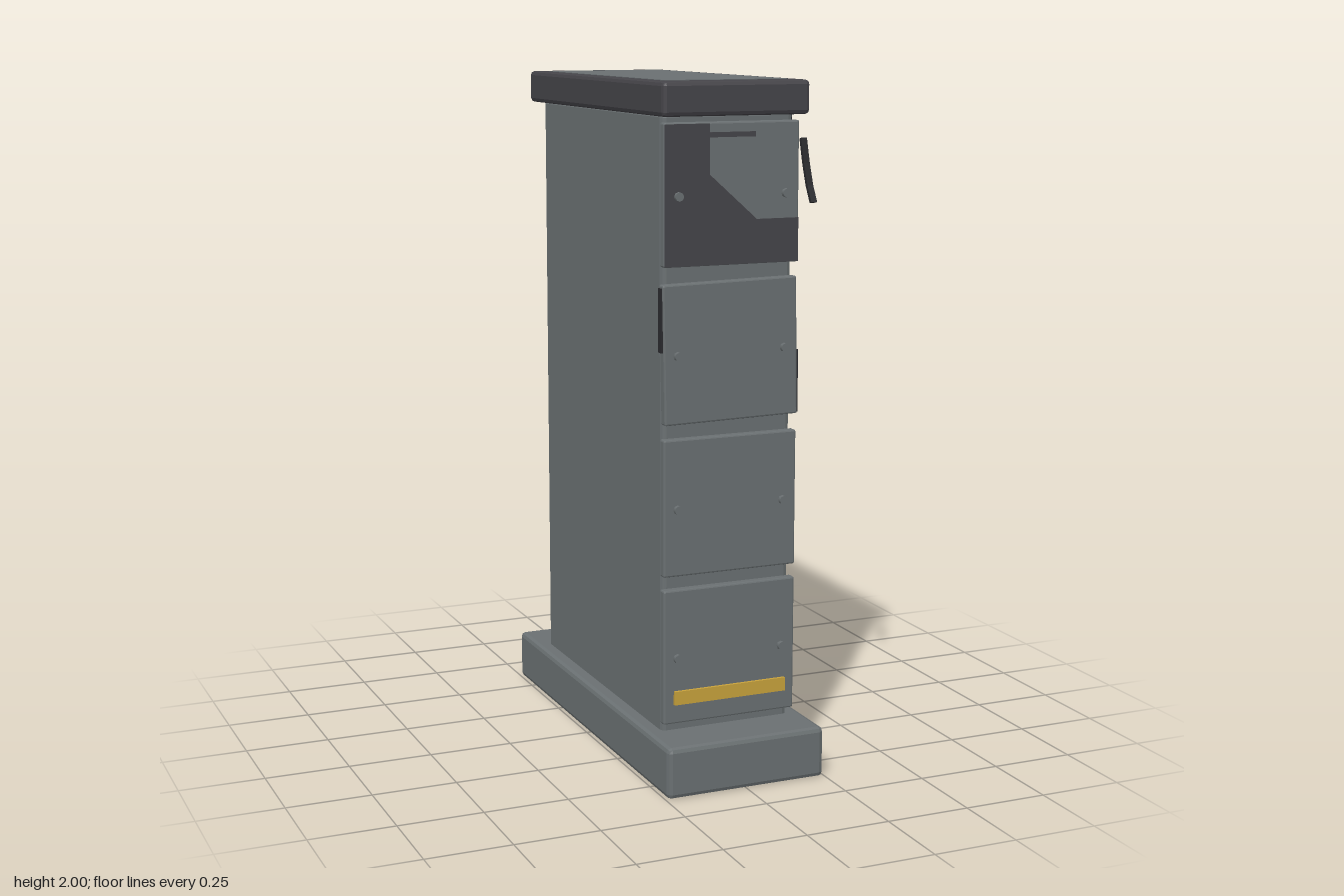
import * as THREE from 'three';
import { RoundedBoxGeometry } from 'three/addons/geometries/RoundedBoxGeometry.js';

export function createModel() {
  const model = new THREE.Group();
  model.name = 'armouredPillar';

  const material = (name, color, extra = {}) => {
    const m = new THREE.MeshStandardMaterial({ color, ...extra });
    m.name = name;
    return m;
  };
  const steel = material('steel grey', 0x6a7072);
  const dark = material('dark grey', 0x454449);
  const black = material('charred black', 0x2b2b2e);
  const yellow = material('hazard yellow', 0xc8a23c);

  const add = (name, geometry, mat, x = 0, y = 0, z = 0, parent = model) => {
    const mesh = new THREE.Mesh(geometry, mat);
    mesh.name = name;
    mesh.position.set(x, y, z);
    parent.add(mesh);
    return mesh;
  };
  // Box with one flat chamfer along every edge
  const chamferBox = (w, h, d, bevel) => {
    const g = new RoundedBoxGeometry(w, h, d, 1, bevel);
    g.computeVertexNormals();
    return g;
  };
  // Thin plate cut from a list of outline points, facing +z
  const plate = (points, depth) => new THREE.ExtrudeGeometry(
    new THREE.Shape(points.map(([x, y]) => new THREE.Vector2(x, y))),
    { depth, bevelEnabled: false });

  // Main masses
  add('base', chamferBox(0.49, 0.15, 1.246, 0.014), steel, 0, 0.075, 0);
  add('body', chamferBox(0.4, 1.79, 0.934, 0.014), steel, 0, 1.02, 0.002);
  add('cap', chamferBox(0.446, 0.095, 1.06, 0.012), dark, 0, 1.9525, 0);
  add('capInset', new THREE.BoxGeometry(0.372, 0.004, 0.91), steel, 0, 1.9995, 0);

  // Four bolted front panels; the third one hangs slightly askew
  const bolt = new THREE.CylinderGeometry(0.013, 0.013, 0.016, 8);
  bolt.rotateX(Math.PI / 2);
  [0.375, 0.81, 1.25, 1.69].forEach((y, i) => {
    const panel = new THREE.Group();
    panel.name = `frontPanel${i + 1}`;
    panel.position.set(0, y, 0.483);
    if (i === 2) panel.rotation.z = 0.018;
    model.add(panel);
    add('panelPlate', chamferBox(0.412, 0.396, 0.03, 0.005), steel, 0, 0, 0, panel);
    for (const side of [-1, 1]) add('bolt', bolt, steel, side * 0.164, -0.003, 0.02, panel);
  });

  add('hazardStripe', new THREE.BoxGeometry(0.35, 0.04, 0.009), yellow, 0, 0.255, 0.5025);

  // Scorched area on the top panel, leaving a bare patch at upper left
  add('scorch', plate([
    [-0.204, 1.494], [0.204, 1.494], [0.204, 1.617], [0.075, 1.617],
    [-0.07, 1.745], [-0.07, 1.884], [-0.204, 1.884],
  ], 0.003), dark, 0, 0, 0.4975);
  add('scorchStreak', new THREE.BoxGeometry(0.14, 0.014, 0.004), dark, 0, 1.853, 0.4985);

  // Buckled edge strips
  const buckle = add('bentEdge', new THREE.BoxGeometry(0.008, 0.41, 0.018), black, 0.203, 1.695, 0.455);
  buckle.rotation.x = -0.085;
  add('leftEdgeDent', new THREE.BoxGeometry(0.01, 0.18, 0.02), black, -0.208, 1.345, 0.483);
  add('rightEdgeDent', new THREE.BoxGeometry(0.01, 0.18, 0.02), black, 0.207, 1.15, 0.483);

  // Curved shard of metal peeled clear of the top panel
  const profile = [[0.548, 1.84], [0.558, 1.77], [0.572, 1.71], [0.591, 1.665]];
  const outline = [...profile, ...profile.map(([z, y]) => [z + 0.011, y + 0.003]).reverse()]
    .map(([z, y]) => [-z, y]);
  const shardGeometry = plate(outline, 0.018);
  shardGeometry.rotateY(Math.PI / 2);
  // Lean outward toward the lower end
  const p = shardGeometry.attributes.position;
  for (let i = 0; i < p.count; i++) p.setX(i, p.getX(i) + 0.18 + (1.84 - p.getY(i)) * 0.07);
  shardGeometry.computeVertexNormals();
  add('peeledShard', shardGeometry, black);

  return model;
}
